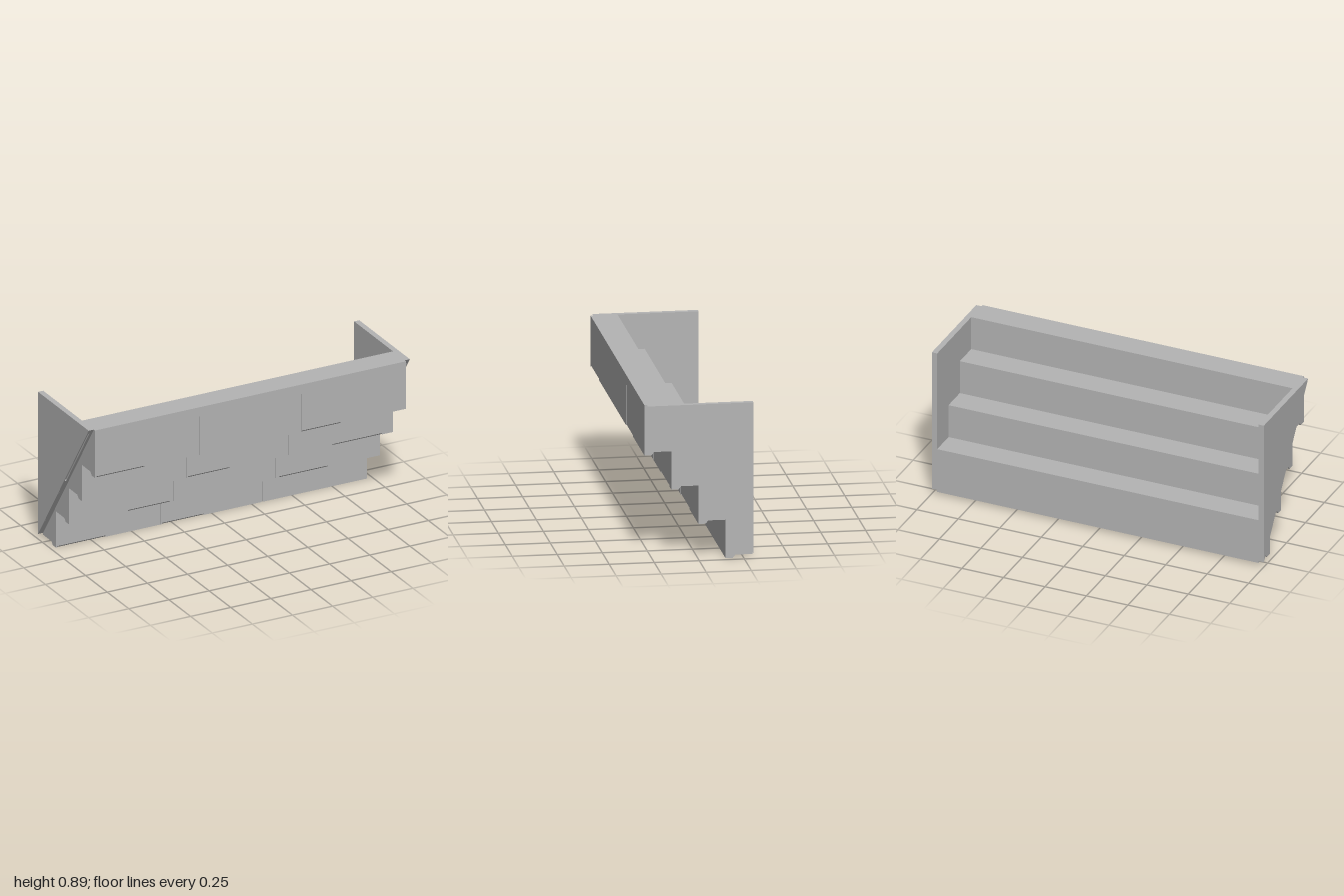
import * as THREE from 'three';

const stone = new THREE.MeshStandardMaterial({ color: 0xb4b4b4 });
stone.name = 'grey stone';

// Extrudes a (z, y) profile along x, from x0 to x1
function slab(name, points, x0, x1) {
  const shape = new THREE.Shape(points.map(([z, y]) => new THREE.Vector2(z, y)));
  const geo = new THREE.ExtrudeGeometry(shape, { depth: x1 - x0, bevelEnabled: false });
  geo.rotateY(-Math.PI / 2).translate(x1, 0, 0);
  const mesh = new THREE.Mesh(geo, stone);
  mesh.name = name;
  return mesh;
}

const HALF = 0.968, HEIGHT = 0.286, DEPTH = 0.15, FACE = 0.008, SEAM_TOP = 0.23;
const PLANKS = [[-HALF, -0.321], [-0.319, 0.312], [0.32, HALF]];
// Chipped stretches of the lower front edge, from the bottom tier up
const CHIPS = [
  [[-0.96, -0.66], [-0.31, -0.05]],
  [[-0.6, -0.34], [0.34, 0.64]],
  [[-0.31, -0.05], [0.59, 0.9]],
  [[-0.96, -0.66], [0.32, 0.56]],
];

function createTier(k) {
  const tier = new THREE.Group();
  tier.name = 'tier' + (k + 1);
  const y = 0.2 * k, top = y + HEIGHT, front = DEPTH * (k - 1), back = front - DEPTH, inner = front - FACE;

  // Body with a drip lip under its front edge
  tier.add(slab('tierBody', [
    [inner, y], [front - 0.04, y], [front - 0.054, y + 0.018],
    [back, y + 0.018], [back, top], [inner, top],
  ], -HALF, HALF));

  // Facing stones, split where the lower edge is chipped
  for (const [a, b] of PLANKS) {
    const cuts = [a, b];
    for (const c of CHIPS[k].flat()) if (c > a && c < b) cuts.push(c);
    cuts.sort((p, q) => p - q);
    for (let i = 0; i < cuts.length - 1; i++) {
      const mid = (cuts[i] + cuts[i + 1]) / 2;
      const chipped = CHIPS[k].some(([c, d]) => mid > c && mid < d);
      const edge = chipped ? [[inner + 0.001, y], [front, y + 0.008]] : [[inner, y], [front, y]];
      tier.add(slab('facingStone', [...edge, [front, top], [inner, top]], cuts[i], cuts[i + 1]));
    }
  }

  // The seams stop short of the top
  for (let i = 0; i < 2; i++) {
    tier.add(slab('seamEnd', [
      [inner, y + SEAM_TOP], [front, y + SEAM_TOP], [front, top], [inner, top],
    ], PLANKS[i][1], PLANKS[i + 1][0]));
  }
  return tier;
}

// Triangular end panel with a shallow groove along its outer sloping edge
function createPanel(side) {
  const panel = new THREE.Group();
  panel.name = side > 0 ? 'leftPanel' : 'rightPanel';
  const tri = [[-0.3, 0.03], [0.286, 0.886], [-0.3, 0.886]];
  const notched = [
    [-0.3, 0.03], [0.0, 0.468], [-0.003, 0.478], [0.258, 0.858],
    [0.267, 0.858], [0.286, 0.886], [-0.3, 0.886],
  ];
  const layers = [['panelInner', tri, HALF, 0.985], ['panelOuter', notched, 0.985, 0.995], ['panelFace', tri, 0.995, 1]];
  for (const [name, points, a, b] of layers) {
    panel.add(side > 0 ? slab(name, points, a, b) : slab(name, points, -b, -a));
  }
  return panel;
}

export function createModel() {
  const model = new THREE.Group();
  model.name = 'steppedCornice';
  for (let k = 0; k < 4; k++) model.add(createTier(k));
  for (const side of [-1, 1]) model.add(createPanel(side));
  return model;
}
